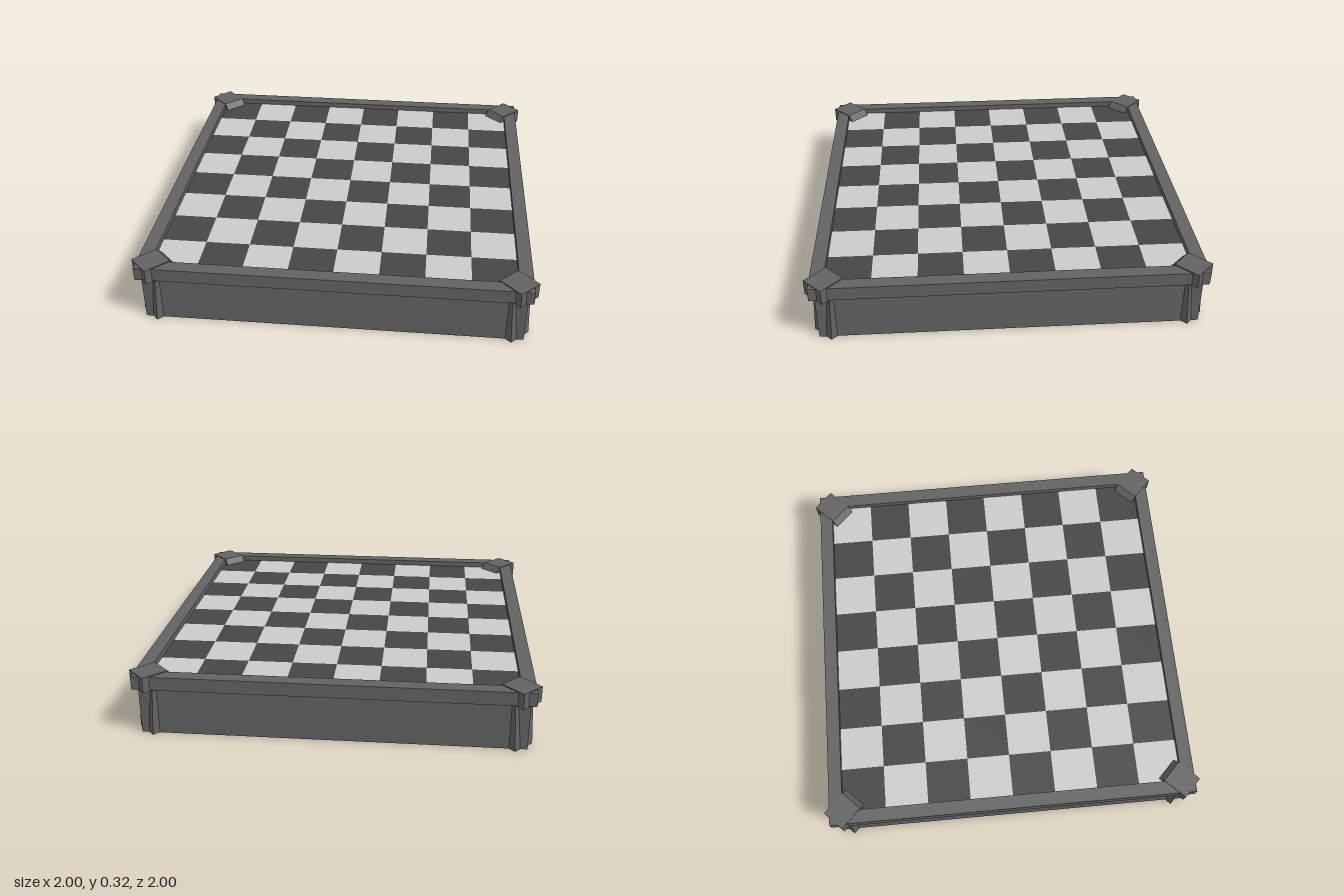
import * as THREE from 'three';

const frameMat = new THREE.MeshStandardMaterial({ color: 0x636363, flatShading: true });
const darkMat = new THREE.MeshStandardMaterial({ color: 0x464646 });
const lightMat = new THREE.MeshStandardMaterial({ color: 0xcccccc });

const BOARD_Y = 0.285;
const INNER = 0.905; // half width of the playing field
const RAIL = 0.975;  // half width of the rim

function add(parent, name, geometry, material) {
  const mesh = new THREE.Mesh(geometry, material);
  mesh.name = name;
  parent.add(mesh);
  return mesh;
}

function square(Type, h) {
  const s = new Type();
  s.moveTo(-h, -h).lineTo(h, -h).lineTo(h, h).lineTo(-h, h).closePath();
  return s;
}

// Profile given as [distance from centre, height], given a thickness across
function slab(points, width) {
  const shape = new THREE.Shape(points.map(([d, y]) => new THREE.Vector2(d, y)));
  return new THREE.ExtrudeGeometry(shape, { depth: width, bevelEnabled: false })
    .translate(0, 0, -width / 2);
}

export function createModel() {
  const model = new THREE.Group();
  model.name = 'chessboard';

  // Case under the board
  add(model, 'case', new THREE.BoxGeometry(1.9, 0.25, 1.9).translate(0, 0.125, 0), frameMat);

  // Overhanging rim around the playing field
  const rimShape = square(THREE.Shape, RAIL);
  rimShape.holes.push(square(THREE.Path, INNER));
  const rim = new THREE.ExtrudeGeometry(rimShape, { depth: 0.07, bevelEnabled: false });
  add(model, 'rim', rim.rotateX(-Math.PI / 2).translate(0, 0.245, 0), frameMat);

  // Playing field, 8 x 8
  const field = new THREE.Group();
  field.name = 'playingField';
  model.add(field);
  const cell = (2 * INNER) / 8;
  const tile = new THREE.PlaneGeometry(cell, cell).rotateX(-Math.PI / 2);
  for (let row = 0; row < 8; row++) {
    for (let col = 0; col < 8; col++) {
      const dark = (row + col) % 2 === 0;
      const mesh = add(field, dark ? 'darkSquare' : 'lightSquare', tile, dark ? darkMat : lightMat);
      mesh.position.set((col - 3.5) * cell, BOARD_Y, (row - 3.5) * cell);
    }
  }

  // Diagonal corners: tapered post below, cap with a sloping inner face above
  const post = slab([[1.2, 0], [1.319, 0], [1.301, 0.245], [1.2, 0.245]], 0.127);
  const cap = slab([[1.182, 0.24], [1.35, 0.24], [1.35, 0.32], [1.21, 0.32], [1.182, BOARD_Y]], 0.129);
  for (let k = 0; k < 4; k++) {
    const corner = new THREE.Group();
    corner.name = 'corner';
    corner.rotation.y = Math.PI / 4 + (k * Math.PI) / 2;
    add(corner, 'cornerPost', post, frameMat);
    add(corner, 'cornerCap', cap, frameMat);
    model.add(corner);
  }
  return model;
}
